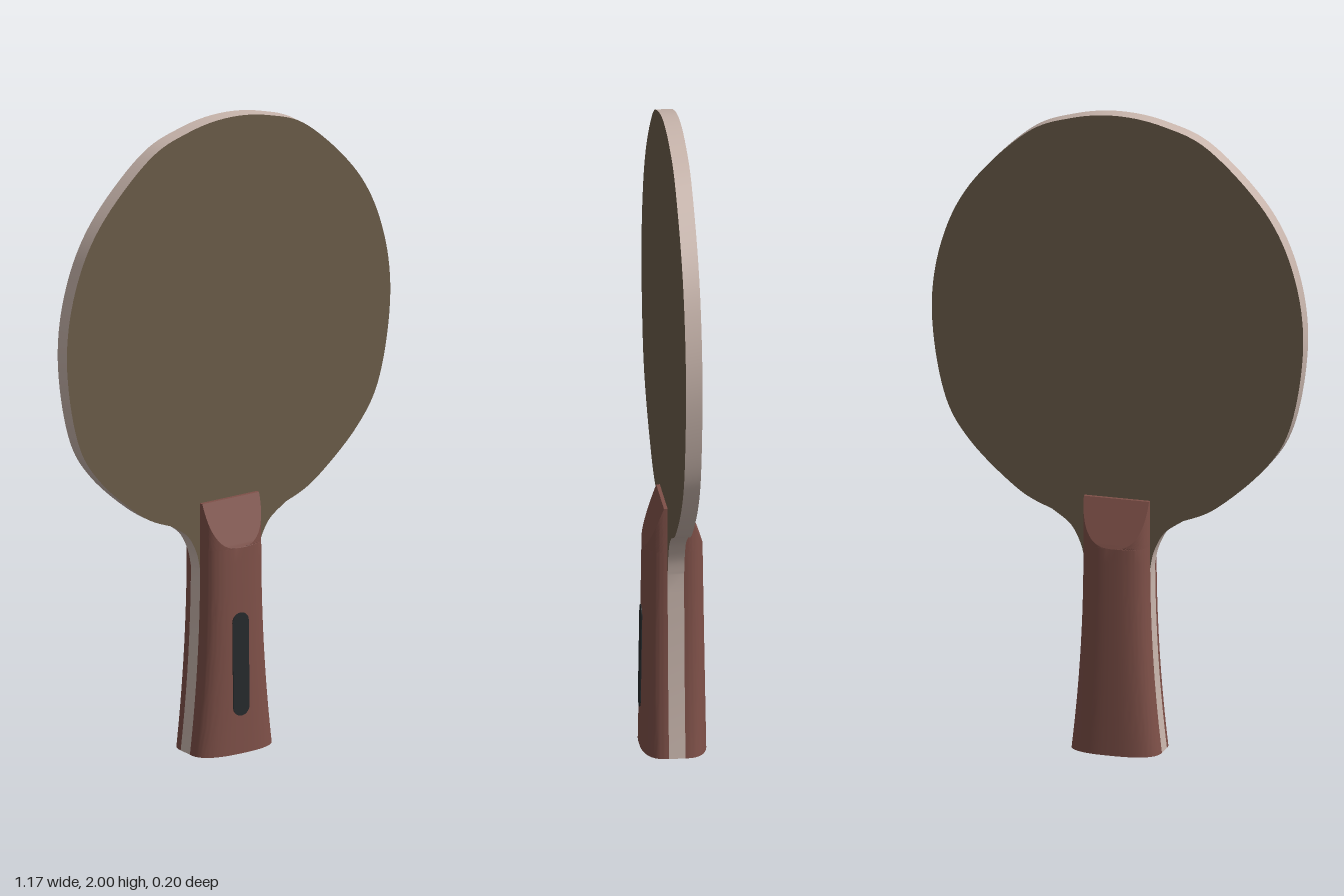
import * as THREE from 'three';
import { toCreasedNormals } from 'three/addons/utils/BufferGeometryUtils.js';

const HALF = 0.025; // half thickness of the blade
const mat = (name, color) => {
  const m = new THREE.MeshStandardMaterial({ color });
  m.name = name;
  return m;
};

// Half width of the flared handle at height y
const gripWidth = (y) => 0.103 + 0.037 * Math.max(0, 1 - y / 0.6) ** 2;

// Blade outline: flared tang, small fillet, then the round head
function bladeShape() {
  const v = (x, y) => new THREE.Vector2(x, y);
  const tang = [];
  for (let i = 0; i < 10; i++) tang.push(v(gripWidth(i * 0.058), i * 0.058));
  const fillet = new THREE.SplineCurve([
    v(0.103, 0.58), v(0.115, 0.635), v(0.147, 0.695), v(0.205, 0.738),
  ]).getPoints(18);
  const side = [
    v(0.205, 0.738), v(0.312, 0.79), v(0.465, 0.93), v(0.547, 1.077), v(0.585, 1.33),
    v(0.555, 1.55), v(0.465, 1.74), v(0.29, 1.918), v(0.145, 1.98),
  ];
  const mirror = (pts) => pts.map((p) => v(-p.x, p.y)).reverse();
  const head = new THREE.SplineCurve([...side, v(0, 2), ...mirror(side)]).getPoints(144);
  const lower = [...tang, ...fillet.slice(0, -1)];
  return new THREE.Shape([...lower, ...head, ...mirror(lower)]);
}

// Half grip: rounded section swept upward, cut by a sloping flat near the top
function gripGeometry() {
  const TOP = 0.793, CUT = 0.65, N = 20, P = 2 / 2.6;
  const heights = [];
  for (let i = 0; i <= 14; i++) heights.push((CUT * i) / 14);
  for (let i = 1; i <= 14; i++) heights.push(CUT + (TOP - CUT) * (i / 14) ** 1.5);

  const rows = heights.map((y) => {
    const w = gripWidth(y);
    const depth = 0.075 - 0.0154 * y;
    const limit = y <= CUT ? depth : 0.065 - (0.054 * (y - CUT)) / (TOP - CUT);
    const end = Math.asin(Math.min(1, limit / depth) ** (1 / P));
    const right = [];
    for (let j = 0; j <= N; j++) {
      const u = (end * j) / N;
      right.push([w * Math.max(0, Math.cos(u)) ** P, y, HALF + depth * Math.sin(u) ** P]);
    }
    return [...right, ...right.map(([x, h, z]) => [-x, h, z]).reverse()];
  });

  const pos = [];
  const tri = (...pts) => pts.forEach((p) => pos.push(...p));
  for (let i = 0; i < rows.length - 1; i++) {
    for (let j = 0; j < rows[i].length - 1; j++) {
      const a = rows[i][j], b = rows[i][j + 1], c = rows[i + 1][j], d = rows[i + 1][j + 1];
      tri(a, c, b);
      tri(b, c, d);
    }
  }
  // End caps
  const first = rows[0], last = rows[rows.length - 1];
  for (let j = 0; j < first.length - 1; j++) {
    tri([0, 0, HALF], first[j], first[j + 1]);
    tri([0, TOP, HALF], last[j + 1], last[j]);
  }
  const g = new THREE.BufferGeometry();
  g.setAttribute('position', new THREE.Float32BufferAttribute(pos, 3));
  return toCreasedNormals(g, 0.27);
}

export function createModel() {
  const model = new THREE.Group();
  model.name = 'tableTennisBat';
  const face = mat('olive brown face', 0x6b5c49);
  const edge = mat('pale wood edge', 0xc8b5ac);
  const wood = mat('reddish brown grip', 0x7e5048);
  const dark = mat('dark inlay', 0x262a2c);

  const add = (name, geometry, material) => {
    const mesh = new THREE.Mesh(geometry, material);
    mesh.name = name;
    model.add(mesh);
    return mesh;
  };

  // Blade with coloured faces and a pale rim
  const blade = new THREE.ExtrudeGeometry(bladeShape(), {
    depth: HALF * 2, bevelEnabled: false, steps: 1,
  });
  blade.translate(0, 0, -HALF);
  add('blade', toCreasedNormals(blade, 0.5), [face, edge]);

  // Grip halves on both sides
  const grip = gripGeometry();
  add('frontGrip', grip, wood);
  add('backGrip', grip, wood).rotation.y = Math.PI;

  // Capsule inlay on the front grip, following its slight slope
  const r = 0.029, h = 0.163;
  const capsule = new THREE.Shape();
  capsule.absarc(0, h - r, r, 0, Math.PI);
  capsule.absarc(0, r - h, r, Math.PI, Math.PI * 2);
  const plate = new THREE.ExtrudeGeometry(capsule, {
    depth: 0.006, bevelEnabled: false, curveSegments: 16,
  });
  const inlay = add('inlay', plate, dark);
  inlay.position.set(-0.003, 0.283, 0.0915);
  inlay.rotation.x = -0.0154;

  return model;
}
